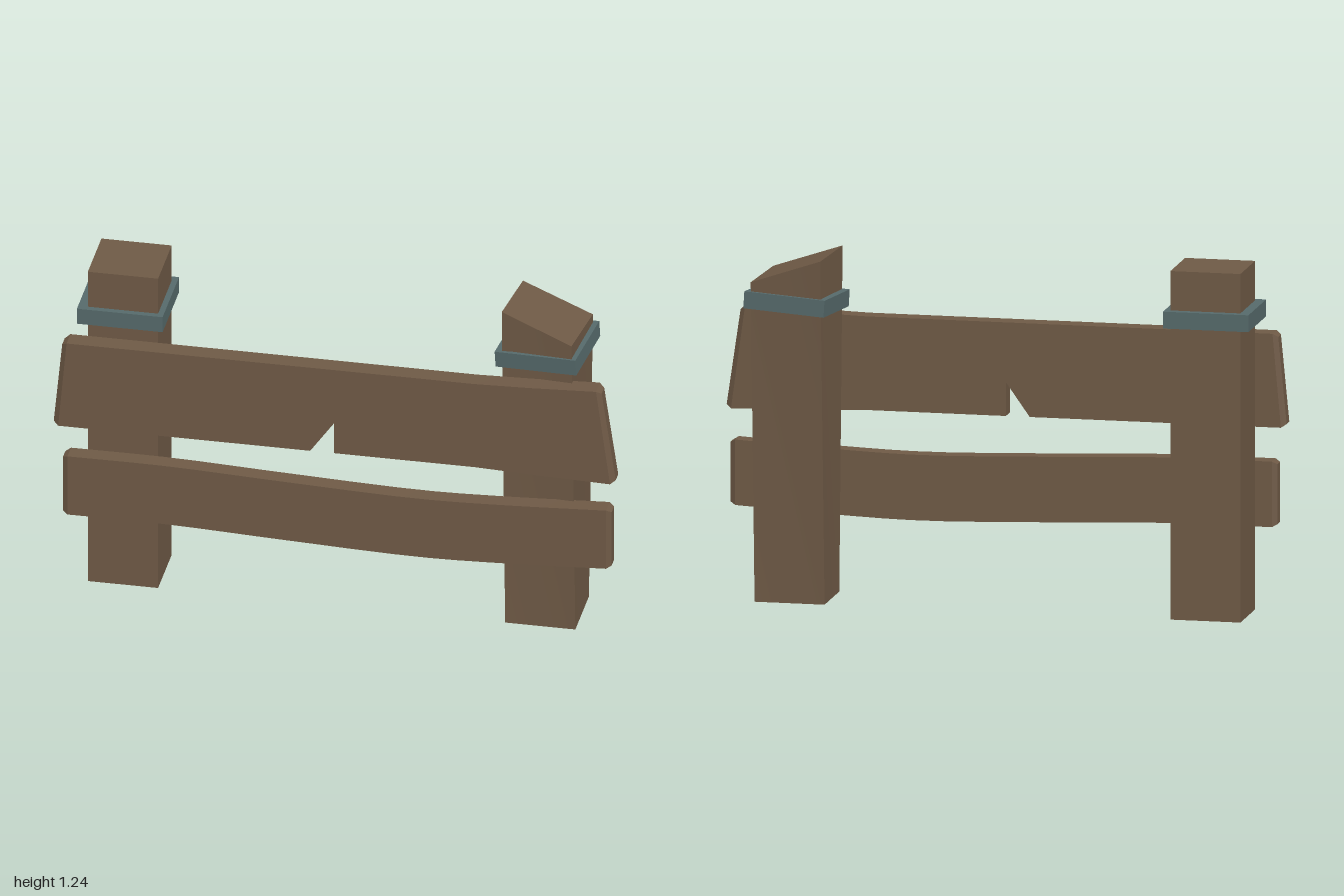
import * as THREE from 'three';
import { toCreasedNormals } from 'three/addons/utils/BufferGeometryUtils.js';

const wood = new THREE.MeshStandardMaterial({ color: 0x6f5a46, side: THREE.DoubleSide });
const metal = new THREE.MeshStandardMaterial({ color: 0x566a6b });

// Skin a list of four-cornered sections; the start can be left open
function loft(sections, capStart = true) {
  const pos = [];
  const quad = (a, b, c, d) => pos.push(...a, ...b, ...c, ...a, ...c, ...d);
  for (let s = 0; s + 1 < sections.length; s++) {
    const A = sections[s], B = sections[s + 1];
    for (let i = 0; i < 4; i++) {
      const j = (i + 1) % 4;
      quad(A[i], B[i], B[j], A[j]);
    }
  }
  if (capStart) quad(...sections[0]);
  quad(...sections[sections.length - 1].slice().reverse());
  const geo = new THREE.BufferGeometry();
  geo.setAttribute('position', new THREE.Float32BufferAttribute(pos, 3));
  return toCreasedNormals(geo, 0.4);
}

// Plank section: lower edge (xb, yb), upper edge (xt, yt), front and back depth
const slice = (xb, yb, xt, yt, zf, zb) => [[xb, yb, zf], [xt, yt, zf], [xt, yt, zb], [xb, yb, zb]];

// Plank from [xb, yb, xt, yt] stations, with a chamfer at both ends
function plank(stations, zf, zb, bevel) {
  const end = ([xb, yb, xt, yt], dx) =>
    slice(xb + dx, yb + bevel, xt + dx, yt - bevel, zf - bevel, zb + bevel);
  const body = stations.map((s) => slice(...s, zf, zb));
  return loft([end(stations[0], -0.018), ...body, end(stations[stations.length - 1], 0.018)]);
}

export function createModel() {
  const group = new THREE.Group();
  const add = (name, geo, mat) => {
    const mesh = new THREE.Mesh(geo, mat);
    mesh.name = name;
    group.add(mesh);
    return mesh;
  };

  // Straight post and twisted post with a slanted top, both open below
  const square = (x0, x1, y) => [[x0, y, -0.135], [x1, y, -0.135], [x1, y, 0.105], [x0, y, 0.105]];
  add('rightPost', loft([square(-0.89, -0.64, 0), square(-0.89, -0.64, 1.24)], false), wood);
  const slantedTop = [[0.605, 1.225, -0.16], [0.86, 1.135, -0.13], [0.835, 1.145, 0.125], [0.58, 1.235, 0.09]];
  add('leftPost', loft([square(0.595, 0.845, 0), slantedTop], false), wood);

  // Metal bands around the post heads
  const bandGeo = new THREE.BoxGeometry(0.305, 0.06, 0.29);
  add('rightBand', bandGeo, metal).position.set(-0.772, 1.07, -0.018);
  const band = add('leftBand', bandGeo, metal);
  band.position.set(0.72, 1.061, -0.022);
  band.scale.set(0.97, 1, 0.95);
  band.rotation.set(0.04, -0.11, 0.055);

  // Upper plank, split by a notch in the lower edge
  const upper = [
    [-0.982, 0.65, -0.952, 0.983],
    [-0.5, 0.65, -0.5, 0.983],
    [-0.085, 0.65, -0.085, 0.983],
    [0, 0.77, 0, 0.983],
    [0, 0.65, 0, 0.983],
    [0.5, 0.65, 0.5, 0.983],
    [0.72, 0.642, 0.7, 0.989],
    [0.982, 0.635, 0.932, 1.0],
  ];
  add('upperPlank', plank(upper, 0.173, 0.105, 0.012), wood);

  // Lower plank, sagging towards its left half
  const lower = [];
  const sag = new THREE.CatmullRomCurve3(
    [[-0.95, 0.295], [-0.6, 0.295], [-0.2, 0.28], [0.3, 0.265], [0.6, 0.273], [0.967, 0.292]]
      .map(([x, y]) => new THREE.Vector3(x, y, 0)));
  for (const p of sag.getPoints(16)) lower.push([p.x, p.y, p.x, p.y + 0.233]);
  add('lowerPlank', plank(lower, 0.168, 0.105, 0.01), wood);

  return group;
}
